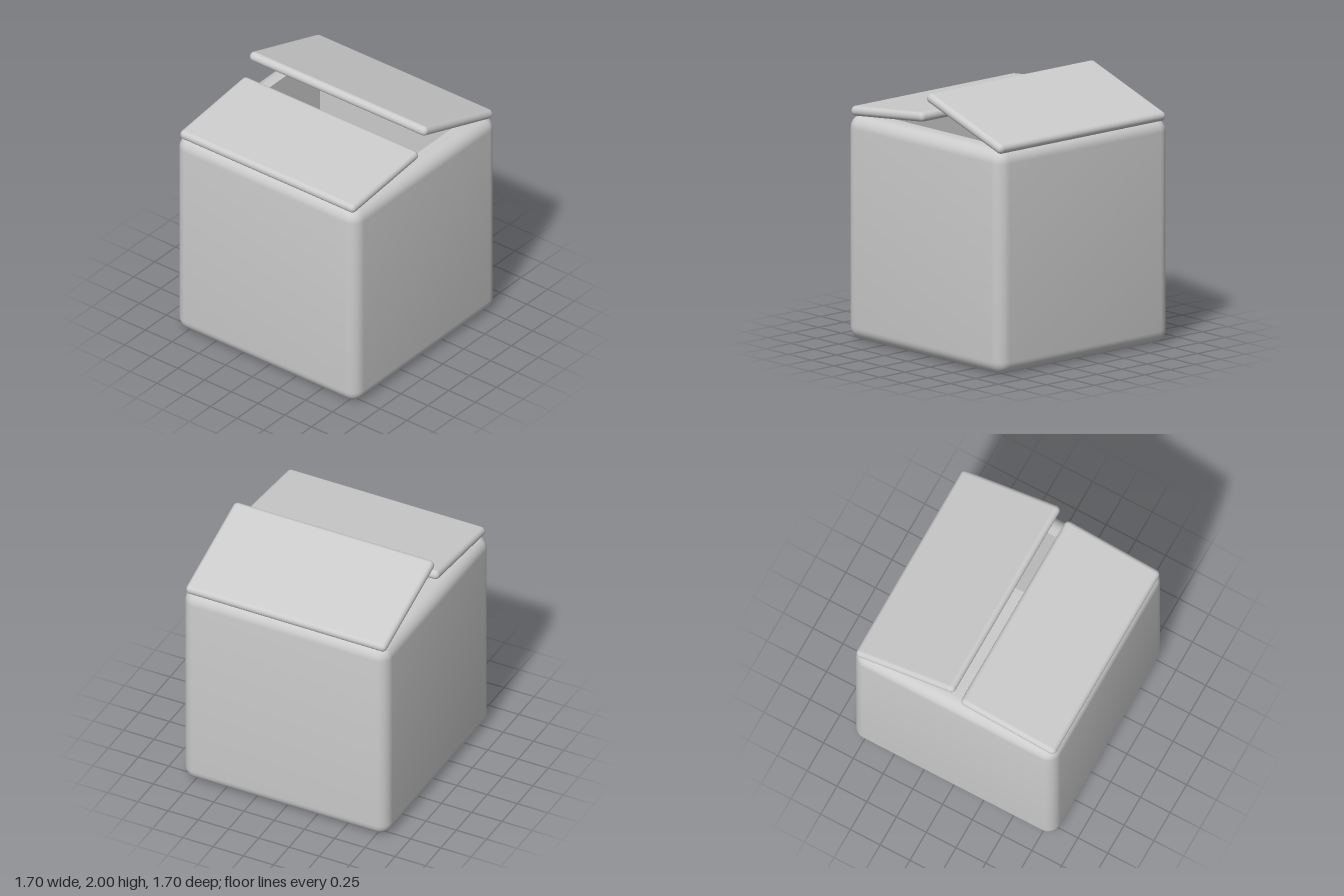
import * as THREE from 'three';
import { toCreasedNormals } from 'three/addons/utils/BufferGeometryUtils.js';
import { RoundedBoxGeometry } from 'three/addons/geometries/RoundedBoxGeometry.js';

const HALF = 0.85, HEIGHT = 1.7, RADIUS = 0.1; // outer box
const OPENING = 0.695, FLOOR = 0.155;          // cavity
const SEG = 8;                                 // steps per rounded corner

// Rounded square at height y: corner centres at +-c, corner radius r
function ring(c, r, y) {
  const pts = [];
  for (let k = 0; k < 4; k++) {
    const mid = (k + 0.5) * Math.PI / 2;
    const cx = Math.sign(Math.cos(mid)) * c, cz = -Math.sign(Math.sin(mid)) * c;
    for (let i = 0; i <= SEG; i++) {
      const a = (k + i / SEG) * Math.PI / 2;
      pts.push([cx + r * Math.cos(a), y, cz - r * Math.sin(a)]);
    }
  }
  return pts;
}

// Hollow box: outside from the bottom centre up, over the rim, down to the floor
function boxGeometry() {
  const c = HALF - RADIUS;
  const rings = [ring(0, 0, 0)];
  for (const [start, y] of [[-Math.PI / 2, RADIUS], [0, HEIGHT - RADIUS]]) {
    for (let i = 0; i <= SEG; i++) {
      const t = start + i / SEG * Math.PI / 2;
      rings.push(ring(c, RADIUS * Math.cos(t), y + RADIUS * Math.sin(t)));
    }
  }
  rings.push(ring(OPENING, 0, HEIGHT), ring(OPENING, 0, FLOOR), ring(0, 0, FLOOR));

  const n = rings[0].length, index = [];
  for (let i = 0; i < rings.length - 1; i++) {
    for (let j = 0; j < n; j++) {
      const a = i * n + j, b = i * n + (j + 1) % n;
      index.push(a, b, b + n, a, b + n, a + n);
    }
  }
  const geometry = new THREE.BufferGeometry();
  geometry.setAttribute('position', new THREE.Float32BufferAttribute(rings.flat(2), 3));
  geometry.setIndex(index);
  return toCreasedNormals(geometry, Math.PI / 5);
}

// Tilted flap spanning the centres of its rounded front and back edges, [z, y]
function flap(name, width, front, back, material) {
  const thickness = 0.074;
  const dz = front[0] - back[0], dy = back[1] - front[1];
  const geometry = new RoundedBoxGeometry(width, thickness, Math.hypot(dz, dy) + thickness, 5, 0.036);
  const mesh = new THREE.Mesh(geometry, material);
  mesh.name = name;
  mesh.position.set(0, (front[1] + back[1]) / 2, (front[0] + back[0]) / 2);
  mesh.rotation.x = Math.atan2(dy, dz);
  return mesh;
}

export function createModel() {
  const group = new THREE.Group();
  group.name = 'openBox';
  const material = new THREE.MeshStandardMaterial({ color: 0xcccccc });

  const body = new THREE.Mesh(boxGeometry(), material);
  body.name = 'boxBody';
  group.add(body);

  // Two half-open lid flaps
  group.add(flap('frontFlap', 1.635, [0.8, 1.722], [0.08, 1.801], material));
  group.add(flap('backFlap', 1.655, [-0.042, 1.963], [-0.795, 1.712], material));
  return group;
}
